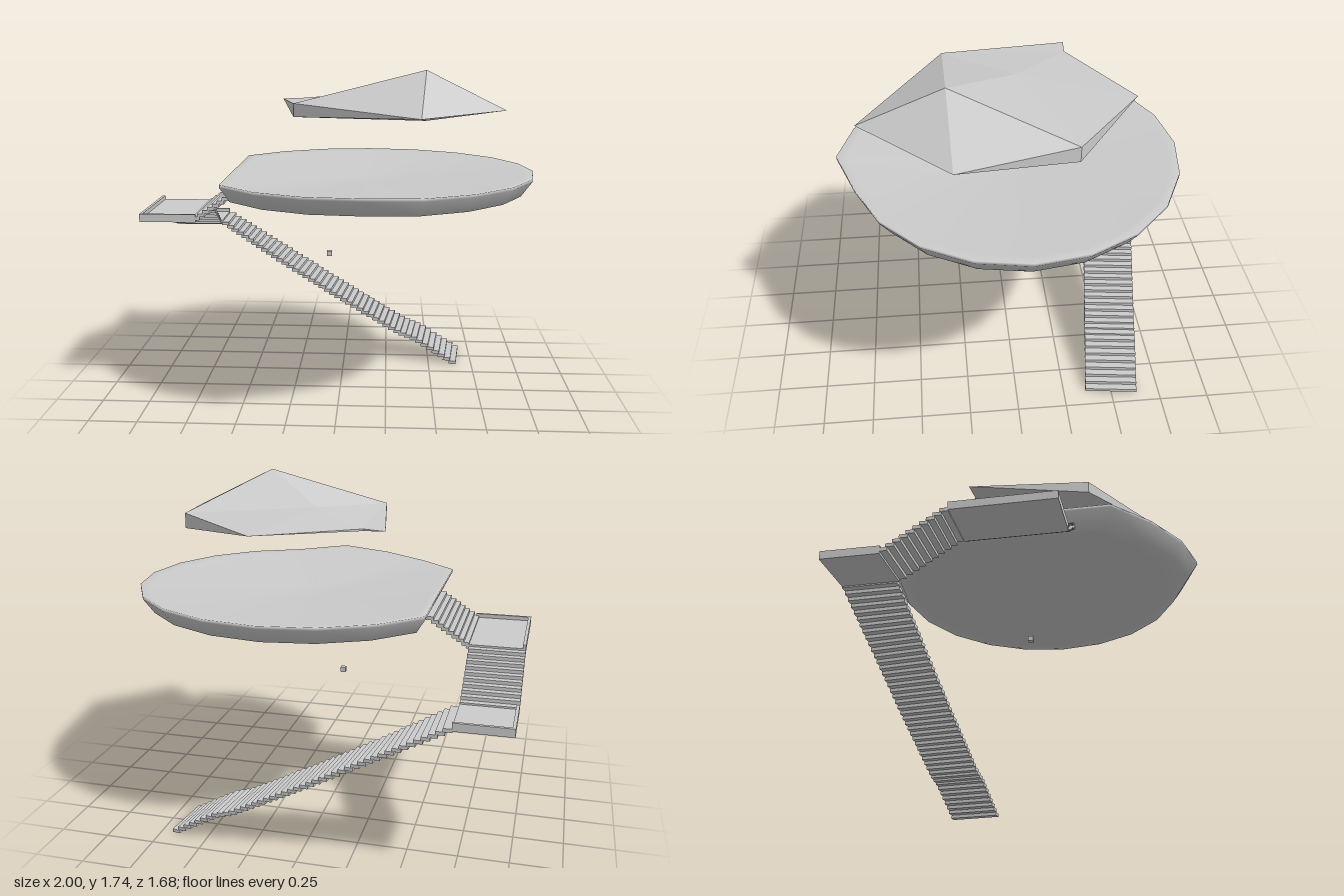
import * as THREE from 'three';

const grey = new THREE.MeshStandardMaterial({ color: 0xcccccc });
const faceted = new THREE.MeshStandardMaterial({ color: 0xcccccc, flatShading: true });

function box(name, w, h, d, x, y, z) {
  const m = new THREE.Mesh(new THREE.BoxGeometry(w, h, d), grey);
  m.name = name;
  m.position.set(x, y, z);
  return m;
}

// A run of treads along a list of [share of the run, x, y, z] stops, turning gradually by `turn`
function flight(name, count, size, stops, turn = 0) {
  const g = new THREE.Group();
  g.name = name;
  for (let i = 0; i < count; i++) {
    const t = i / (count - 1);
    const k = Math.max(1, stops.findIndex((s) => s[0] >= t));
    const [t0, ...a] = stops[k - 1], [t1, ...b] = stops[k];
    const f = (t - t0) / (t1 - t0);
    const [x, y, z] = a.map((v, j) => v + (b[j] - v) * f);
    const tread = box('tread', ...size, x, y, z);
    tread.rotation.y = turn * Math.min(1, t * 4);
    g.add(tread);
  }
  return g;
}

// Landing: thin floor with a low kerb on the outer side (x0) and on one end (zKerb)
function landing(name, x0, x1, z0, z1, y, zKerb) {
  const g = new THREE.Group();
  g.name = name;
  const w = x1 - x0, d = z1 - z0, t = 0.015;
  const cx = (x0 + x1) / 2, cz = (z0 + z1) / 2;
  g.add(box('landingFloor', w, 0.02, d, cx, y + 0.01, cz));
  g.add(box('sideKerb', t, 0.04, d, x0 + t / 2, y + 0.02, cz));
  g.add(box('endKerb', w, 0.04, t, cx, y + 0.02, zKerb - Math.sign(zKerb) * t / 2));
  return g;
}

function mesh(name, pos, index, material) {
  const geo = new THREE.BufferGeometry();
  geo.setAttribute('position', new THREE.Float32BufferAttribute(pos, 3));
  geo.setIndex(index);
  geo.computeVertexNormals();
  const m = new THREE.Mesh(geo, material);
  m.name = name;
  return m;
}

// Round platform: twenty-sided oval with one side cut straight and a shallow dished top
function platform() {
  const rings = [[0.2, 1.164], [0.94, 1.2], [1, 1.207], [1, 1.192], [0.937, 1.117], [0.85, 1.115]];
  const n = 17, pos = [], index = [];
  for (const [s, y] of rings) {
    for (let k = -8; k <= 8; k++) {
      const a = (k * Math.PI) / 10;
      // the front corner is drawn out and slightly raised
      const pull = s < 0.9 ? 0 : k === -5 ? 1 : k === -6 ? 0.45 : 0;
      pos.push(0.14 + 0.86 * s * Math.cos(a), y + 0.018 * pull,
        -0.03 - 0.81 * s * Math.sin(a) + 0.06 * pull);
    }
  }
  const last = (rings.length - 1) * n, top = pos.length / 3, bottom = top + 1;
  pos.push(0.14, 1.157, -0.03, 0.14, 1.115, -0.03);
  for (let k = 0; k < n; k++) {
    const j = (k + 1) % n;
    index.push(top, k, j, bottom, last + j, last + k);
    for (let r = 0; r < last; r += n) {
      index.push(r + k, r + n + k, r + n + j, r + k, r + n + j, r + j);
    }
  }
  return mesh('platform', pos, index, grey);
}

// Faceted canopy: each point has a top and a bottom height, joined by the same triangles
function canopy() {
  const pts = [ // x, z, top, bottom; the first seven go round the outline
    [-0.22, -0.32, 1.555, 1.545], [-0.33, -0.33, 1.55, 1.55], [-0.21, 0.30, 1.58, 1.515],
    [0.39, 0.71, 1.55, 1.55], [0.81, 0.29, 1.55, 1.55], [0.70, -0.26, 1.58, 1.505],
    [0.25, -0.60, 1.55, 1.55], [0.08, -0.04, 1.60, 1.50], [0.425, 0.30, 1.74, 1.50],
  ];
  const tris = [[7, 0, 2], [7, 2, 8], [7, 8, 5], [7, 5, 6], [7, 6, 0],
    [0, 1, 2], [8, 2, 3], [8, 3, 4], [8, 4, 5]];
  const n = pts.length, pos = [], index = [];
  for (const p of pts) pos.push(p[0], p[2], p[1]);
  for (const p of pts) pos.push(p[0], p[3], p[1]);
  for (const [a, b, c] of tris) index.push(a, b, c, n + a, n + c, n + b);
  for (let i = 0; i < 7; i++) {
    const j = (i + 1) % 7;
    if (pts[i][2] > pts[i][3]) index.push(i, n + i, n + j);
    if (pts[j][2] > pts[j][3]) index.push(i, n + j, j);
  }
  return mesh('canopy', pos, index, faceted);
}

export function createModel() {
  const model = new THREE.Group();
  model.name = 'stairwayPavilion';

  // Roof and floor
  model.add(canopy(), platform());

  // Stairs and landings, from the ground up; the long run sags a little and eases near the foot
  model.add(flight('longStairs', 44, [0.042, 0.017, 0.27], [
    [0, -0.712, 0.792, -0.675], [0.22, -0.42, 0.613, -0.637], [0.49, -0.05, 0.392, -0.59],
    [0.775, 0.34, 0.173, -0.541], [0.84, 0.43, 0.143, -0.53], [1, 0.655, 0.0085, -0.502],
  ], -0.12));
  model.add(landing('lowerLanding', -1, -0.73, -0.81, -0.53, 0.79, -0.81));
  model.add(flight('middleStairs', 10, [0.27, 0.017, 0.04],
    [[0, -0.865, 0.81, -0.515], [1, -0.865, 0.982, -0.247]]));
  model.add(landing('upperLanding', -1, -0.715, -0.23, 0.265, 0.98, 0.265));
  model.add(flight('upperStairs', 8, [0.036, 0.017, 0.495],
    [[0, -0.712, 1.0, 0.018], [1, -0.535, 1.117, 0.018]]));

  // Small loose block below the platform
  model.add(box('smallBlock', 0.026, 0.026, 0.026, -0.06, 0.75, -0.04));
  return model;
}
